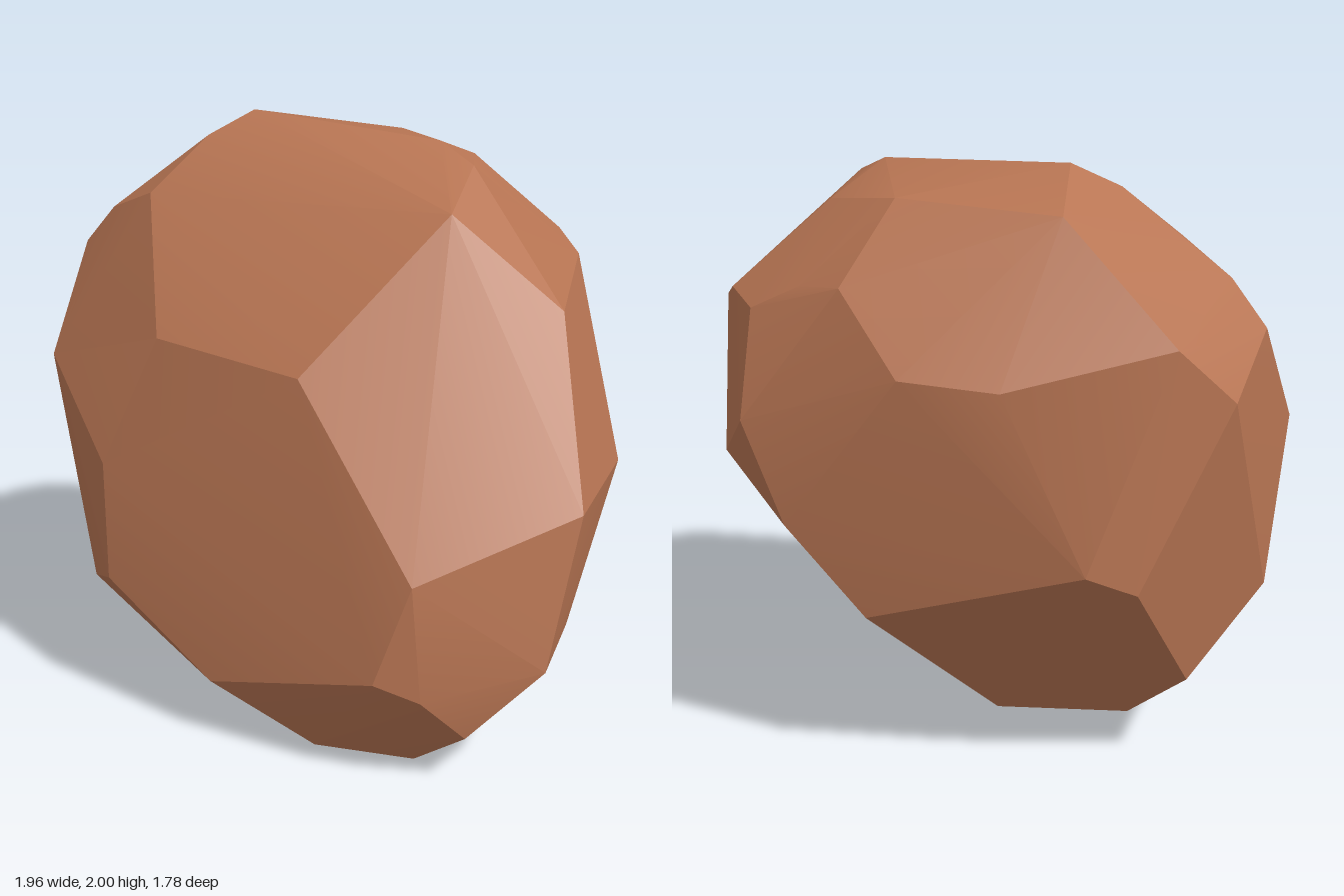
import * as THREE from 'three';
import { ConvexGeometry } from 'three/addons/geometries/ConvexGeometry.js';
import { toCreasedNormals } from 'three/addons/utils/BufferGeometryUtils.js';

// Corners of the chiselled boulder, in bands from top to bottom
const crown = [
  [-0.25, 2, -0.37], [0.38, 1.95, -0.02], [-0.41, 1.92, -0.32], [0.28, 1.91, -0.51],
  [0.48, 1.89, 0.1], [-0.24, 1.89, -0.66], [0.52, 1.86, -0.28], [0.39, 1.78, 0.34],
  [-0.61, 1.74, -0.2], [0.43, 1.67, -0.7], [-0.76, 1.65, -0.39], [0.57, 1.65, -0.6],
];
const shoulder = [
  [0.84, 1.58, -0.34], [0.74, 1.56, -0.53], [-0.59, 1.53, -0.81], [0.89, 1.52, -0.2],
  [-0.87, 1.51, -0.46], [0.75, 1.48, 0.41], [0.24, 1.43, -0.85], [-0.07, 1.41, -0.89],
  [-0.77, 1.35, -0.74], [-0.57, 1.33, 0.19], [-0.1, 1.3, 0.54], [0.76, 1.23, -0.66],
];
const waist = [
  [-0.98, 1.15, -0.22], [0.86, 1.06, -0.46], [0.98, 0.92, 0.27], [0.79, 0.91, 0.73],
  [0.62, 0.91, -0.73], [-0.77, 0.88, 0.18], [-0.33, 0.83, -0.89], [-0.49, 0.76, -0.85],
  [0.25, 0.72, 0.85], [-0.91, 0.62, -0.4], [0.37, 0.6, -0.73],
];
const base = [
  [-0.76, 0.48, 0.24], [0.68, 0.41, 0.82], [-0.83, 0.4, 0.04], [0.8, 0.4, 0.46],
  [0.13, 0.39, 0.86], [0.28, 0.34, 0.89], [-0.66, 0.34, -0.57], [-0.4, 0.22, 0.51],
  [0.43, 0.18, 0.83], [-0.03, 0.15, -0.45], [-0.47, 0.15, -0.45], [-0.52, 0.09, -0.1],
  [0.45, 0.05, 0.43], [-0.05, 0.01, 0.57], [0.28, 0, 0.65],
];

export function createModel() {
  const group = new THREE.Group();
  group.name = 'rock';

  const clay = new THREE.MeshStandardMaterial({ color: 0xb87553 });
  clay.name = 'clay brown';

  // The hull of the corners gives the broad facets; shallow edges are softened
  const corners = [...crown, ...shoulder, ...waist, ...base].map((p) => new THREE.Vector3(...p));
  const boulder = new THREE.Mesh(toCreasedNormals(new ConvexGeometry(corners), 0.3), clay);
  boulder.name = 'boulder';
  group.add(boulder);
  return group;
}
